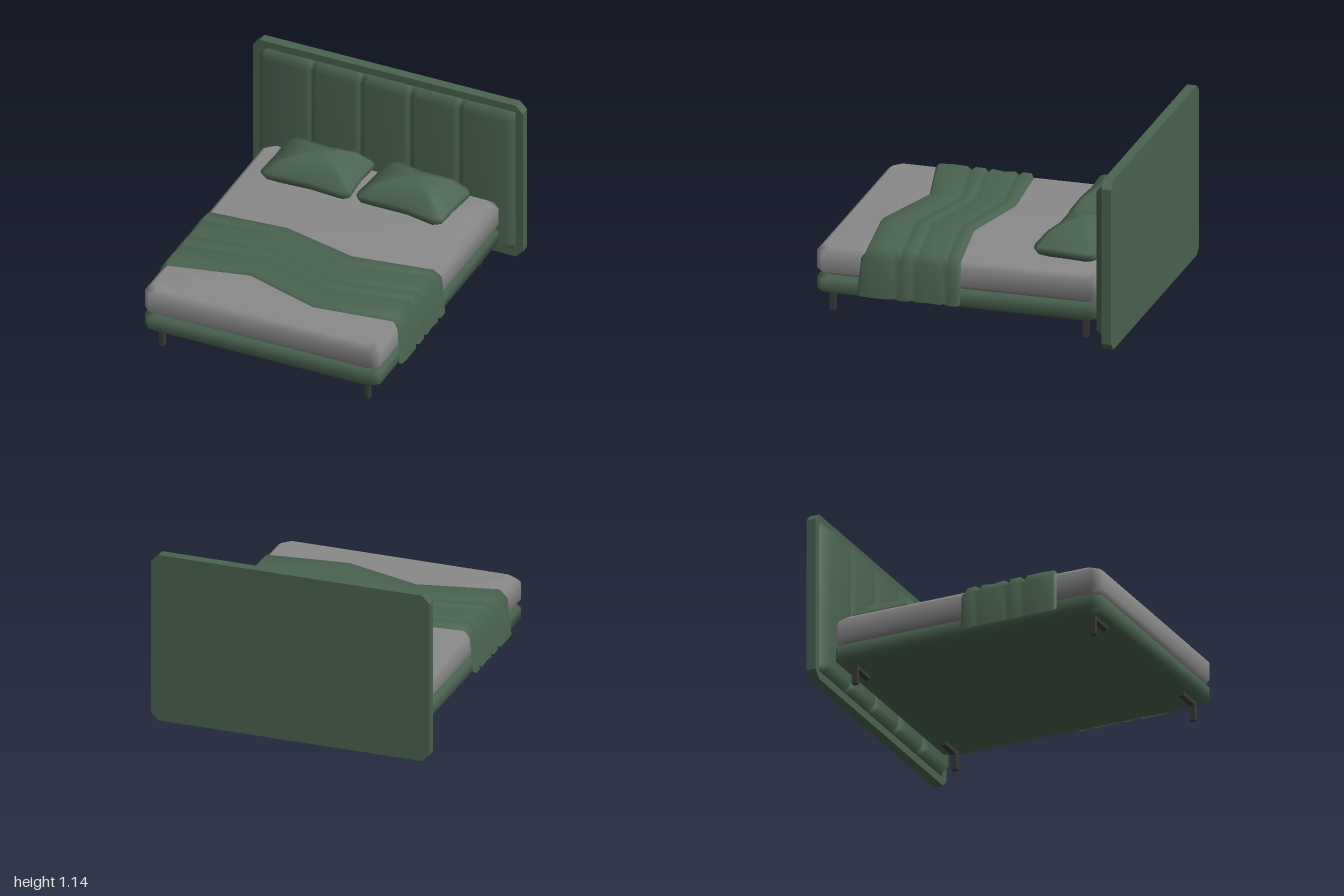
import * as THREE from 'three';

const green = new THREE.MeshStandardMaterial({ color: 0x4a6350 });
green.name = 'green fabric';
const greenCloth = green; // same fabric on closed and open parts
green.side = THREE.DoubleSide;
const grey = new THREE.MeshStandardMaterial({ color: 0x8a8a8a });
grey.name = 'grey linen';
const dark = new THREE.MeshStandardMaterial({ color: 0x3a3a3a });
dark.name = 'dark metal';

// Smooth surface through rows of [x, y, z] points; closed rows are also capped
function surface(rows, closed = false) {
  const n = rows[0].length;
  const pos = rows.flat(2);
  const index = [];
  for (let i = 0; i < rows.length - 1; i++) {
    for (let j = 0; j < (closed ? n : n - 1); j++) {
      const k = (j + 1) % n;
      const a = i * n + j, b = i * n + k, c = a + n, d = b + n;
      index.push(a, b, d, a, d, c);
    }
  }
  if (closed) {
    [0, rows.length - 1].forEach((r, end) => {
      const centre = pos.length / 3;
      pos.push(...[0, 1, 2].map(q => rows[r].reduce((s, p) => s + p[q], 0) / n));
      for (let j = 0; j < n; j++) {
        const a = r * n + j, b = r * n + (j + 1) % n;
        index.push(centre, end ? a : b, end ? b : a);
      }
    });
  }
  const geo = new THREE.BufferGeometry();
  geo.setAttribute('position', new THREE.Float32BufferAttribute(pos, 3));
  geo.setIndex(index);
  geo.computeVertexNormals();
  return geo;
}

// Rectangle outline with cut corners, counter-clockwise in (u, v)
function cutRect(u, v, c) {
  return [[u, -v + c], [u, v - c], [u - c, v], [-u + c, v],
    [-u, v - c], [-u, -v + c], [-u + c, -v], [u - c, -v]];
}

// Soft slab lying flat: [height, inset] per ring
function slab(profile) {
  return surface(profile.map(([y, inset]) =>
    cutRect(0.82 - inset, 0.9375 - inset, 0.05).map(([u, v]) => [u, y, 0.0625 - v])), true);
}

// Pillow puffed up from its plan outline
function pillow(outline, cx, cz) {
  const profile = [[0.445, 0.72], [0.48, 0.95], [0.505, 1], [0.53, 0.97],
    [0.605, 0.7], [0.642, 0.36], [0.652, 0.12]];
  const ring = [...outline].reverse();
  return surface(profile.map(([y, s]) =>
    ring.map(([x, z]) => [cx + (x - cx) * s, y, cz + (z - cz) * s])), true);
}

// Channelled pad on the front of the headboard
function channelPad() {
  const cols = [[-0.89, 0], [-0.845, 1]];
  for (const x of [-0.515, -0.172, 0.172, 0.515]) {
    cols.push([x - 0.04, 1], [x - 0.012, 0.55], [x + 0.012, 0.55], [x + 0.04, 1]);
  }
  cols.push([0.845, 1], [0.89, 0]);
  const rows = [[0.055, 0], [0.1, 1], [1.04, 1], [1.095, 0]];
  return surface(rows.map(([y, r]) =>
    cols.map(([x, c]) => [x, y, -0.935 + 0.06 * Math.min(r, c)])));
}

// Pleated throw draped over the mattress
function throwBlanket() {
  // x, y, back z, front z, outward x, outward y
  const cols = [
    [-0.858, 0.16, 0.04, 0.71, -1, 0], [-0.837, 0.41, 0.035, 0.70, -1, 0],
    [-0.785, 0.475, 0.04, 0.69, -0.5, 1], [-0.26, 0.475, 0, 0.575, 0, 1],
    [0.25, 0.475, 0.12, 0.735, 0, 1], [0.785, 0.475, 0.04, 0.67, 0.5, 1],
    [0.837, 0.41, 0.03, 0.69, 1, 0], [0.858, 0.16, 0.03, 0.71, 1, 0]];
  // position across the throw, sink into the fold
  const folds = [[1, 0.028], [0.97, 0.004], [0.83, 0], [0.68, 0.002], [0.64, 0.021],
    [0.6, 0.002], [0.5, 0.002], [0.465, 0.021], [0.43, 0.002], [0.31, 0.01],
    [0.19, 0.002], [0.155, 0.021], [0.12, 0.002], [0.03, 0.004], [0, 0.028]];
  return surface(folds.map(([t, sink]) => cols.map(([x, y, back, front, ox, oy]) => {
    const drape = oy === 0 ? 0.6 : 1;
    const hem = y < 0.2 ? sink * 0.5 - 0.002 : 0;
    return [x - ox * sink * drape, y - oy * sink + hem, back + (front - back) * t];
  })));
}

export function createModel() {
  const bed = new THREE.Group();
  bed.name = 'bed';
  const add = (name, geo, mat, x = 0, y = 0, z = 0) => {
    const mesh = new THREE.Mesh(geo, mat);
    mesh.name = name;
    mesh.position.set(x, y, z);
    bed.add(mesh);
  };

  // Headboard
  const outline = new THREE.Shape(cutRect(0.94, 0.5725, 0.05).map(p => new THREE.Vector2(...p)));
  add('headboard', new THREE.ExtrudeGeometry(outline, { depth: 0.065, bevelEnabled: false }),
    green, 0, 0.5725, -1);
  add('headboardPad', channelPad(), green);

  // Base and mattress
  add('base', slab([[0.13, 0.045], [0.155, 0], [0.235, 0], [0.26, 0.045]]), green);
  add('mattress', slab([[0.26, 0.035], [0.29, 0], [0.41, 0], [0.445, 0.04]]), grey);

  // Legs with mounting arms
  for (const side of [-1, 1]) {
    for (const z of [0.91, -0.765]) {
      add('leg', new THREE.BoxGeometry(0.03, 0.13, 0.038), dark, side * 0.715, 0.065, z);
      add('legArm', new THREE.BoxGeometry(0.19, 0.028, 0.038), dark, side * 0.635, 0.116, z);
    }
  }

  // Pillows
  add('rightPillow', pillow([[-0.655, -0.8], [-0.64, -0.83], [-0.34, -0.81], [-0.07, -0.835],
    [-0.03, -0.81], [-0.04, -0.62], [-0.025, -0.44], [-0.06, -0.405], [-0.32, -0.425],
    [-0.62, -0.41], [-0.66, -0.44], [-0.65, -0.62]], -0.33, -0.61), green);
  add('leftPillow', pillow([[0.025, -0.8], [0.045, -0.84], [0.1, -0.845], [0.32, -0.805],
    [0.63, -0.8], [0.655, -0.76], [0.635, -0.58], [0.625, -0.41], [0.575, -0.375],
    [0.35, -0.42], [0.03, -0.42], [0, -0.46], [0.015, -0.62]], 0.335, -0.61), green);

  // Throw
  add('throwBlanket', throwBlanket(), greenCloth);
  return bed;
}
